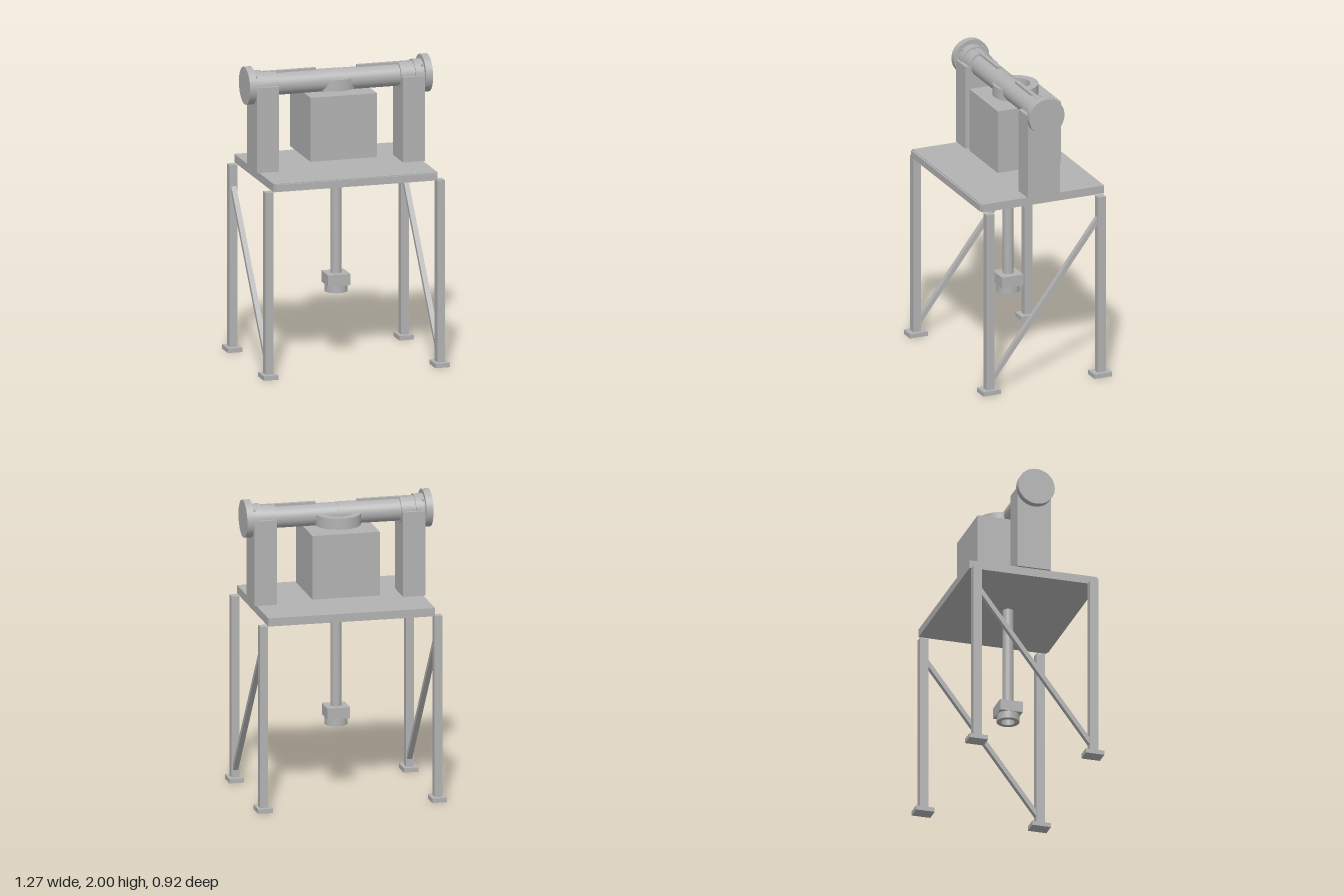
import * as THREE from 'three';

const steel = new THREE.MeshStandardMaterial({ color: 0xb2b2b2 });
steel.name = 'grey steel';

export function createModel() {
  const root = new THREE.Group();
  root.name = 'tubeTestStand';

  const add = (name, geometry) => {
    const mesh = new THREE.Mesh(geometry, steel);
    mesh.name = name;
    root.add(mesh);
    return mesh;
  };
  // box from its min and max on each axis
  const box = (name, x0, x1, y0, y1, z0, z1) =>
    add(name, new THREE.BoxGeometry(x1 - x0, y1 - y0, z1 - z0))
      .position.set((x0 + x1) / 2, (y0 + y1) / 2, (z0 + z1) / 2);
  // cylinder along x, on the tube axis
  const AXIS_Y = 1.875;
  const axial = (name, x0, x1, r) => {
    const g = new THREE.CylinderGeometry(r, r, Math.abs(x1 - x0), 48).rotateZ(Math.PI / 2);
    add(name, g).position.set((x0 + x1) / 2, AXIS_Y, 0);
  };
  // hollow ring standing upright, with crisp edges
  const ring = (name, rIn, rOut, y0, y1, z) => {
    const s = new THREE.Shape().absarc(0, 0, rOut, 0, Math.PI * 2, false);
    s.holes.push(new THREE.Path().absarc(0, 0, rIn, 0, Math.PI * 2, true));
    const g = new THREE.ExtrudeGeometry(s, { depth: y1 - y0, bevelEnabled: false, curveSegments: 32 });
    add(name, g.rotateX(-Math.PI / 2)).position.set(0, y0, z);
  };

  // table deck with a thin front plate
  box('deck', -0.56, 0.56, 1.255, 1.31, -0.437, 0.435);
  box('deckFrontPlate', -0.55, 0.55, 1.26, 1.305, 0.435, 0.446);

  for (const side of [-1, 1]) {
    const label = side > 0 ? 'left' : 'right';
    const sx = (a, b) => (side > 0 ? [a, b] : [-b, -a]);

    // legs and foot pads
    for (const end of [-1, 1]) {
      const which = label + (end > 0 ? 'Front' : 'Back');
      const sz = (a, b) => (end > 0 ? [a, b] : [-b, -a]);
      box(which + 'Leg', ...sx(0.56, 0.612), 0.03, 1.252, ...sz(0.37, 0.427));
      box(which + 'Foot', ...sx(0.536, 0.635), 0, 0.03, ...sz(0.334, 0.461));
    }

    // diagonal brace, low at the front and high at the back
    const s = new THREE.Shape([
      [-0.37, 0.08], [0.37, 1.06], [0.37, 1.11], [-0.37, 0.13],
    ].reverse().map(([a, b]) => new THREE.Vector2(a, b)));
    const brace = new THREE.ExtrudeGeometry(s, { depth: 0.034, bevelEnabled: false })
      .rotateY(Math.PI / 2);
    add(label + 'Brace', brace).position.x = sx(0.567, 0.601)[0];

    // pedestal carrying the tube
    box(label + 'Pedestal', ...sx(0.423, 0.574), 1.31, 1.88, -0.114, 0.114);

    // stepped tube, collars and end disc
    axial(label + 'Tube', ...sx(0, 0.44), side > 0 ? 0.073 : 0.075);
    axial(label + 'InnerCollar', ...sx(0.42, 0.517), 0.087);
    axial(label + 'OuterCollar', ...sx(0.517, 0.58), 0.096);
    axial(label + 'EndDisc', ...sx(0.578, 0.625), 0.125);

    // key strip along the top, and a pin on each side of the collar
    box(label + 'KeyStrip', ...sx(0.14, 0.5), 1.94, 1.963, -0.013, 0.013);
    for (const z of [-0.07, 0.07]) {
      box(label + 'CollarPin', ...sx(0.56, 0.58), 1.925, 1.95, z - 0.005, z + 0.005);
    }
  }

  // housing under the tube, topped by a ring that the tube cuts through
  box('housing', -0.227, 0.226, 1.375, 1.805, -0.278, 0.174);
  ring('housingRing', 0.096, 0.15, 1.815, 1.89, -0.054);

  // hanging rod with square block and hollow nozzle
  add('rod', new THREE.CylinderGeometry(0.035, 0.035, 0.69, 32)).position.y = 0.915;
  box('rodBlock', -0.077, 0.077, 0.502, 0.577, -0.077, 0.077);
  ring('nozzle', 0.045, 0.075, 0.453, 0.502, 0);

  return root;
}
